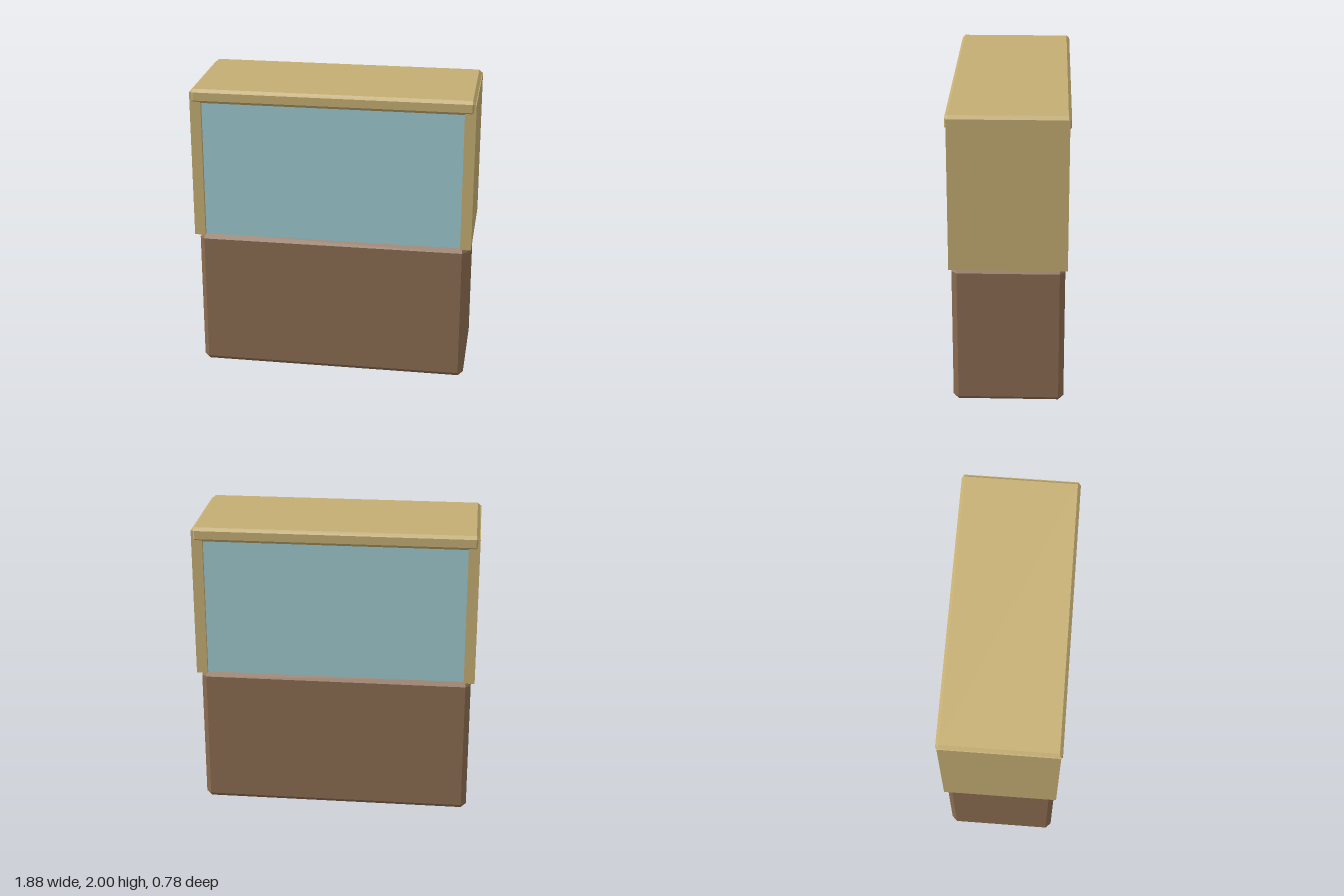
import * as THREE from 'three';
import { ConvexGeometry } from 'three/addons/geometries/ConvexGeometry.js';

const material = (name, color) => {
  const m = new THREE.MeshStandardMaterial({ color });
  m.name = name;
  return m;
};

// Box with every edge cut by a flat bevel of size b
function chamferedBox(w, h, d, b) {
  const points = [];
  for (const x of [-1, 1]) for (const y of [-1, 1]) for (const z of [-1, 1]) {
    const [X, Y, Z] = [w / 2, h / 2, d / 2];
    points.push(
      new THREE.Vector3(x * X, y * (Y - b), z * (Z - b)),
      new THREE.Vector3(x * (X - b), y * Y, z * (Z - b)),
      new THREE.Vector3(x * (X - b), y * (Y - b), z * Z)
    );
  }
  return new ConvexGeometry(points);
}

export function createModel() {
  const group = new THREE.Group();
  group.name = 'displayCounter';
  const brown = material('brown wood', 0x8b6c51);
  const tan = material('tan wood', 0xc5ae73);
  const blue = material('pale blue glass', 0x9dc9cf);

  const add = (name, geometry, mat, x, y) => {
    const mesh = new THREE.Mesh(geometry, mat);
    mesh.name = name;
    mesh.position.set(x, y, 0);
    group.add(mesh);
  };

  // Bevelled base cabinet
  add('baseCabinet', chamferedBox(1.83, 0.97, 0.73, 0.035), brown, 0, 0.485);

  // Glass case, set back from the frame on both long sides
  add('glassCase', new THREE.BoxGeometry(1.75, 0.95, 0.71), blue, 0, 1.445);

  // End panels
  for (const [name, side] of [['leftPanel', 1], ['rightPanel', -1]]) {
    add(name, new THREE.BoxGeometry(0.073, 1.01, 0.76), tan, side * 0.9035, 1.475);
  }

  // Bevelled top board
  add('topBoard', chamferedBox(1.87, 0.095, 0.78, 0.02), tan, 0, 1.9525);

  return group;
}
